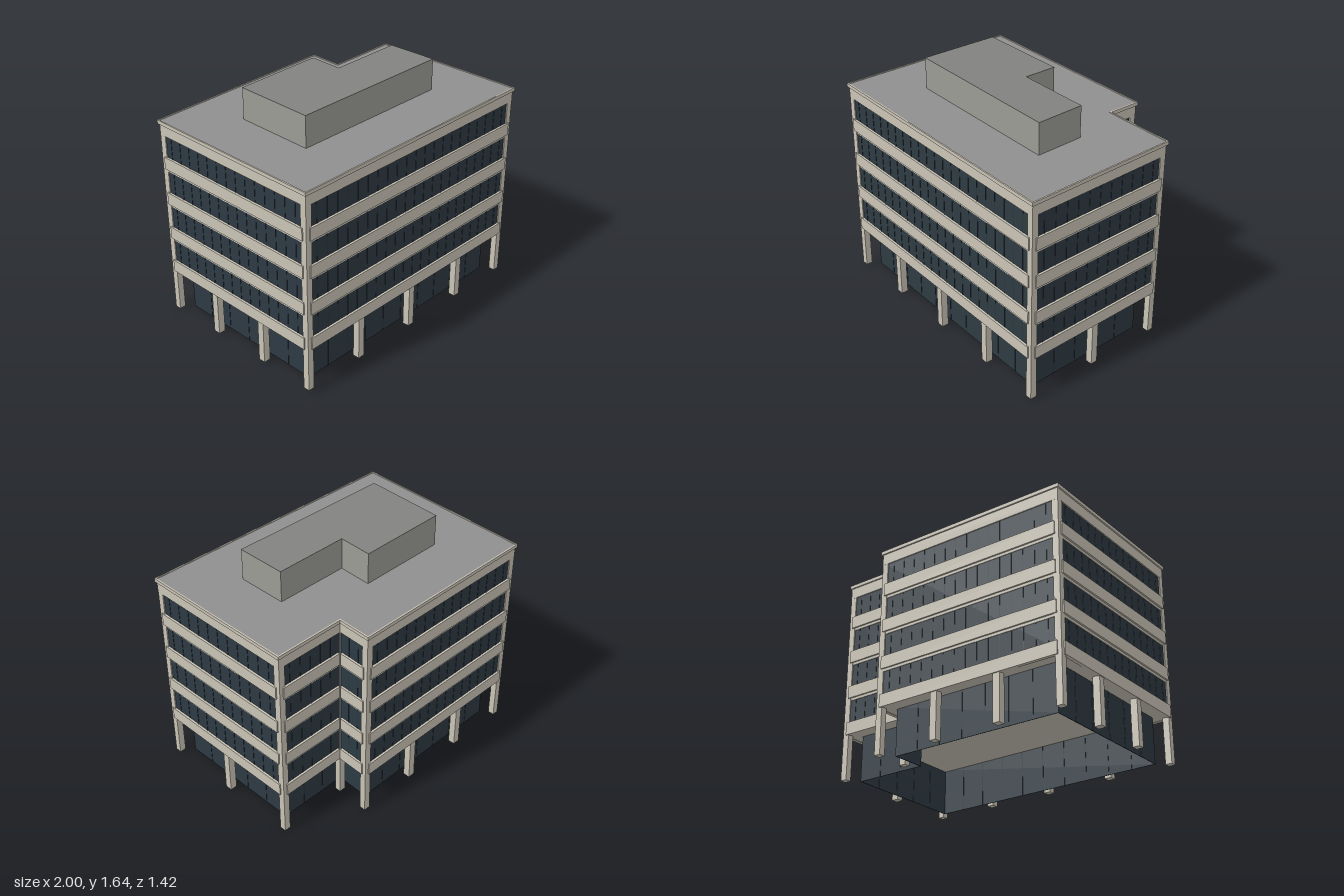
import * as THREE from 'three';
import { mergeGeometries } from 'three/addons/utils/BufferGeometryUtils.js';

// Footprint corners as [x, z], walked round the building
const FOOTPRINT = [[-1, -0.572], [0.364, -0.714], [0.383, -0.485], [0.868, -0.535], [1, 0.553], [-0.88, 0.71]];
const PENTHOUSE = [[-0.59, -0.238], [0.018, -0.302], [0.037, -0.074], [0.537, -0.123], [0.58, 0.214], [-0.545, 0.308]];
const BAYS = [3, 1, 1, 2, 4, 3]; // ground floor column bays per side
const REENTRANT = 2;             // index of the inner corner
const FLOORS = 4, PITCH = 0.257, BAND_Y = 0.305, BAND_H = 0.085, HEADER_H = 0.018;
const FASCIA_Y = 1.309, TOP = 1.408;

const material = (color) => new THREE.MeshStandardMaterial({ color });

// The site falls slightly, so levels shift with x and z while walls stay upright
const slope = new THREE.Matrix4().set(
  1, 0, 0, 0,
  -0.007, 1, 0.01, 0.012,
  0, 0, 1, 0,
  0, 0, 0, 1);

// Direction, inward normal, length and heading of a side
function side(points, i) {
  const [ax, az] = points[i], [bx, bz] = points[(i + 1) % points.length];
  const length = Math.hypot(bx - ax, bz - az);
  const dx = (bx - ax) / length, dz = (bz - az) / length;
  return { ax, az, dx, dz, nx: -dz, nz: dx, length, angle: Math.atan2(-dz, dx) };
}

// Move every side of an outline inward by d
function inset(points, d) {
  return points.map((p, i) => {
    const a = side(points, (i + points.length - 1) % points.length), b = side(points, i);
    const k = d / (1 + a.nx * b.nx + a.nz * b.nz);
    return [p[0] + k * (a.nx + b.nx), p[1] + k * (a.nz + b.nz)];
  });
}

// Upright prism over an outline; a hole runs the other way so its walls face inward
function prism(points, y0, y1, hole) {
  const toVectors = (list) => list.map(([x, z]) => new THREE.Vector2(x, -z));
  const shape = new THREE.Shape(toVectors(points));
  if (hole) shape.holes.push(new THREE.Path(toVectors(hole).reverse()));
  return new THREE.ExtrudeGeometry(shape, { depth: y1 - y0, bevelEnabled: false })
    .rotateX(-Math.PI / 2).translate(0, y0, 0);
}

// Box lying along a side: centre at distance s along it and depth d inside it
function sideBox(s, along, d, width, thick, y0, y1) {
  return new THREE.BoxGeometry(width, y1 - y0, thick).rotateY(s.angle)
    .translate(s.ax + s.dx * along + s.nx * d, (y0 + y1) / 2, s.az + s.dz * along + s.nz * d);
}

export function createModel() {
  const model = new THREE.Group();
  model.name = 'officeBuilding';
  const stone = material(0xcac4b6), glass = material(0x2d3a43), frame = material(0x27313a);
  const roofGrey = material(0x8f8f8f), plantGrey = material(0x9b9c95), plantRoofGrey = material(0x828380);

  const add = (name, geometries, mat) => {
    const mesh = new THREE.Mesh(mergeGeometries([].concat(geometries)).applyMatrix4(slope), mat);
    mesh.name = name;
    model.add(mesh);
  };

  // Recessed ground floor walls, open below, and glazed upper storeys
  const lobby = inset(FOOTPRINT, 0.1), upper = inset(FOOTPRINT, 0.017);
  const lobbyWalls = prism(lobby, 0, 0.32, inset(FOOTPRINT, 0.104));
  add('lobbyGlass', lobbyWalls, glass);
  add('windowGlass', prism(upper, 0.325, FASCIA_Y + 0.01), glass);
  add('soffit', prism(inset(FOOTPRINT, 0.014), BAND_Y + 0.003, 0.335), stone);

  // Corner piers run the full height; columns carry the sides between them
  const piers = [], columns = [], bands = [], headers = [], mullions = [], lobbyMullions = [];
  inset(FOOTPRINT, 0.032).forEach(([x, z], i) => {
    piers.push(new THREE.BoxGeometry(0.044, FASCIA_Y + 0.02, 0.044)
      .rotateY(side(FOOTPRINT, i).angle).translate(x, (FASCIA_Y + 0.02) / 2, z));
  });

  FOOTPRINT.forEach((_, i) => {
    const s = side(FOOTPRINT, i);
    for (let c = 1; c < BAYS[i]; c++) {
      columns.push(sideBox(s, (s.length * c) / BAYS[i], 0.034, 0.048, 0.048, 0, 0.32));
    }

    // Spandrel bands stop short of the outer corners, with a recessed header below
    const start = i === REENTRANT ? 0 : 0.036;
    const end = s.length - ((i + 1) % FOOTPRINT.length === REENTRANT ? 0 : 0.036);
    for (let f = 0; f < FLOORS; f++) {
      const y = BAND_Y + f * PITCH;
      bands.push(sideBox(s, (start + end) / 2, 0.014, end - start, 0.024, y, y + BAND_H));
      if (f > 0) headers.push(sideBox(s, (start + end) / 2, 0.019, end - start, 0.012, y - HEADER_H, y + 0.01));
    }

    // Window mullions
    const u = side(upper, i), n = Math.round(u.length / 0.085);
    for (let m = 1; m < n; m++) {
      mullions.push(sideBox(u, (u.length * m) / n, 0, 0.004, 0.005, 0.33, FASCIA_Y + 0.005));
    }
    const g = side(lobby, i), k = Math.max(1, Math.round(g.length / 0.17));
    for (let m = 1; m < k; m++) {
      lobbyMullions.push(sideBox(g, (g.length * m) / k, 0.002, 0.005, 0.009, 0.002, 0.315));
    }
  });
  add('cornerPiers', piers, stone);
  add('groundColumns', columns, stone);
  add('spandrelBands', bands, stone);
  add('windowHeaders', headers, stone);
  add('windowMullions', mullions, frame);
  add('lobbyMullions', lobbyMullions, frame);

  // Fascia, cornice rim, roof deck and rooftop plant room
  add('fascia', prism(inset(FOOTPRINT, 0.0095), FASCIA_Y, 1.39), stone);
  add('cornice', prism(FOOTPRINT, 1.384, TOP, inset(FOOTPRINT, 0.01)), stone);
  add('roofDeck', prism(inset(FOOTPRINT, 0.0098), 1.388, TOP - 0.004), roofGrey);
  add('plantRoom', prism(PENTHOUSE, 1.4, 1.616), plantGrey);
  add('plantRoof', prism(PENTHOUSE, 1.616, 1.619), plantRoofGrey);
  return model;
}
